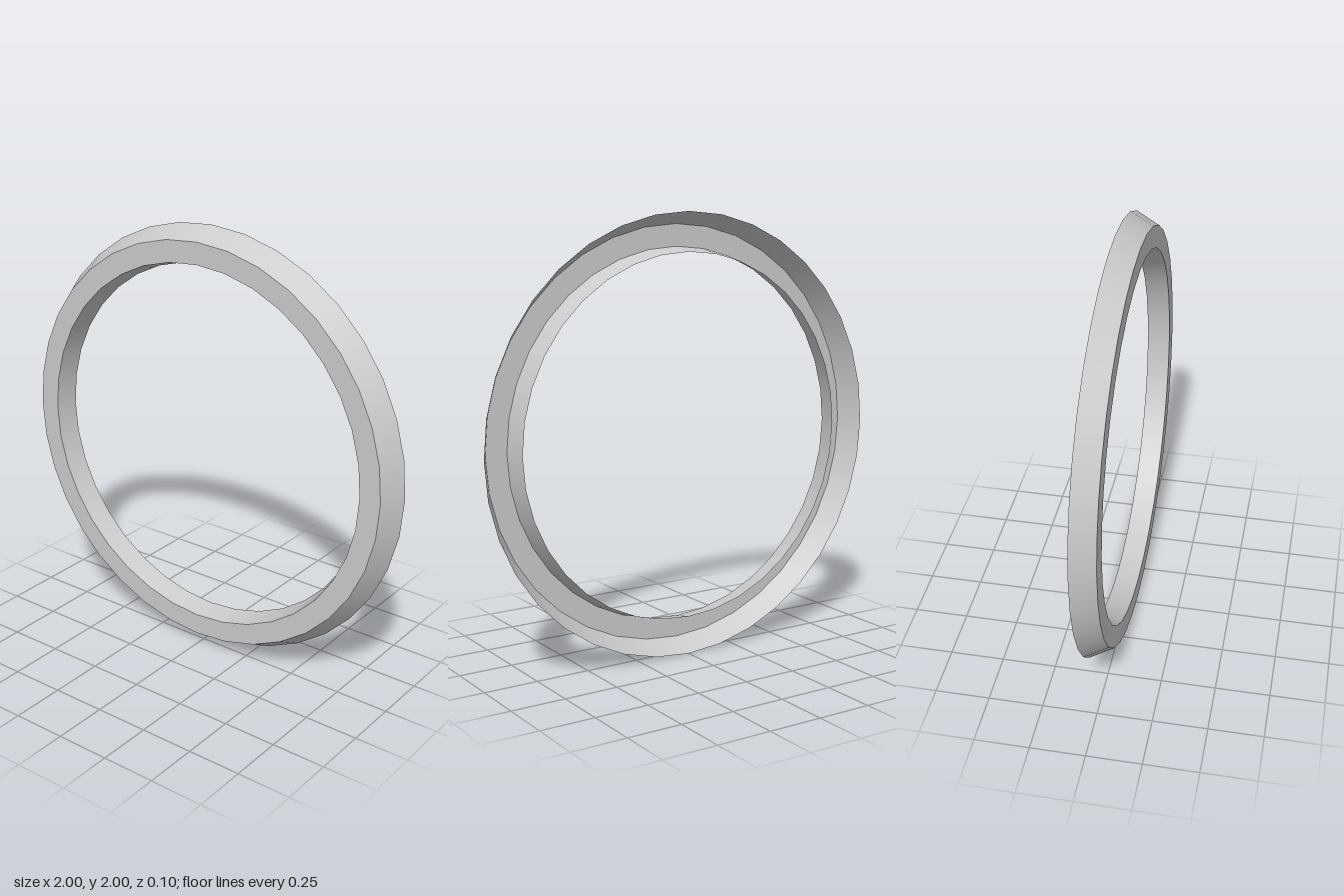
import * as THREE from 'three';

export function createModel() {
  const group = new THREE.Group();
  group.name = 'bezelRing';
  const material = new THREE.MeshStandardMaterial({ color: 0xcccccc, side: THREE.DoubleSide });
  const segments = 36;

  // Channel cross-section as [radius, z], open at the back
  const outerBack = [1.0, -0.052];
  const outerFront = [0.945, 0.052];
  const innerFront = [0.846, 0.052];
  const innerBack = [0.825, -0.052];

  // Each wall is its own sheet, so the edges between walls stay sharp
  const addWall = (name, from, to) => {
    const profile = [from, to].map(([r, z]) => new THREE.Vector2(r, z));
    const geometry = new THREE.LatheGeometry(profile, segments);
    geometry.rotateX(Math.PI / 2);
    const mesh = new THREE.Mesh(geometry, material);
    mesh.name = name;
    mesh.position.y = 1;
    group.add(mesh);
  };

  addWall('outerWall', outerBack, outerFront);
  addWall('frontFace', outerFront, innerFront);
  addWall('innerWall', innerFront, innerBack);

  return group;
}
